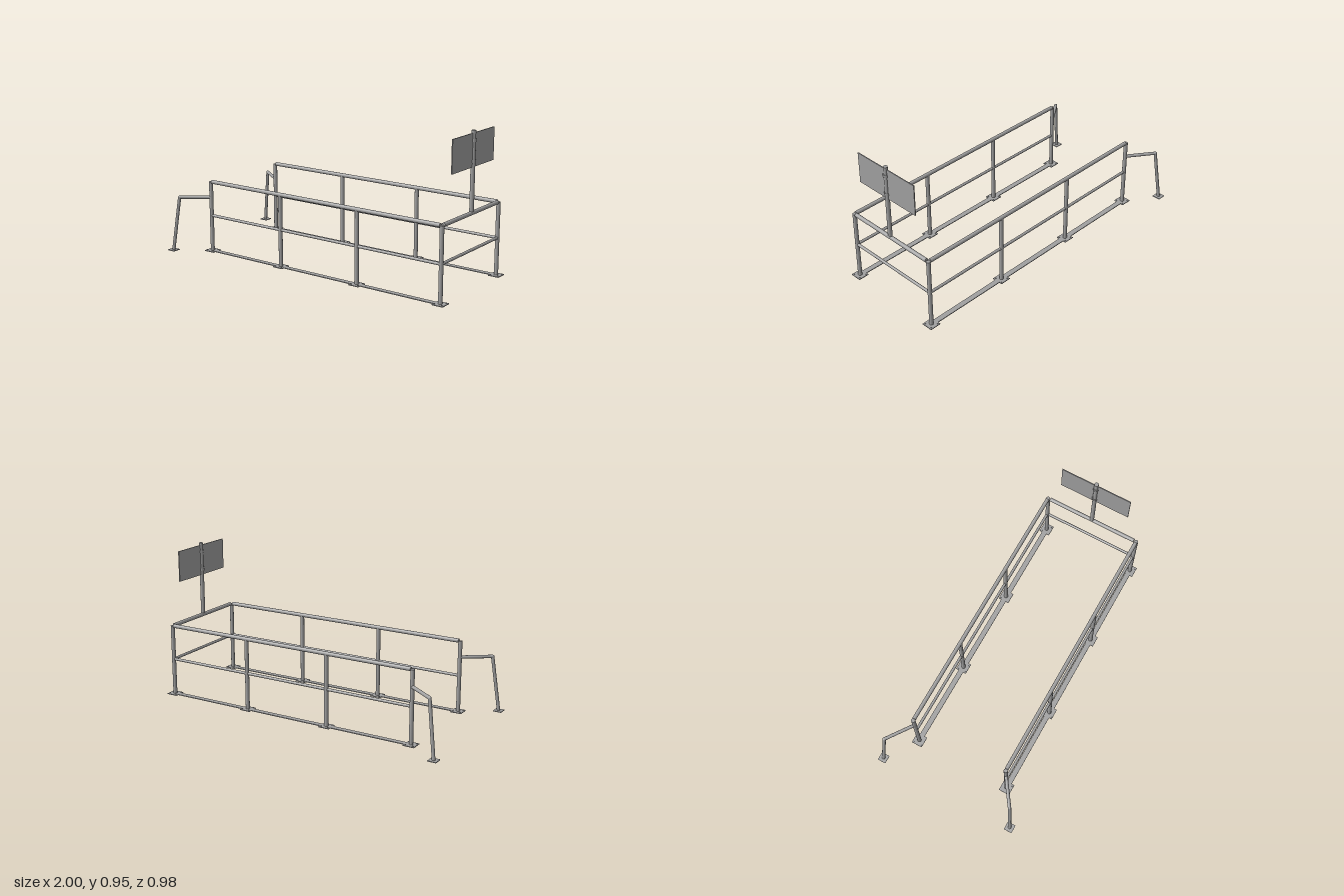
import * as THREE from 'three';

const steel = new THREE.MeshStandardMaterial({ color: 0xa0a0a0 });
steel.name = 'galvanised grey';

export function createModel() {
  const model = new THREE.Group();
  model.name = 'guardRailWalkway';

  const add = (geometry, name, x, y, z) => {
    const mesh = new THREE.Mesh(geometry, steel);
    mesh.name = name;
    mesh.position.set(x, y, z);
    model.add(mesh);
    return mesh;
  };

  // Round pipe between two points
  const pipe = (name, from, to, radius) => {
    const a = new THREE.Vector3(...from);
    const b = new THREE.Vector3(...to);
    const dir = b.clone().sub(a);
    const mid = a.clone().add(b).multiplyScalar(0.5);
    const mesh = add(new THREE.CylinderGeometry(radius, radius, dir.length(), 20), name, mid.x, mid.y, mid.z);
    mesh.quaternion.setFromUnitVectors(new THREE.Vector3(0, 1, 0), dir.normalize());
  };

  const plate = (name, x, z, size) => add(new THREE.BoxGeometry(size, 0.005, size), name, x, 0.0025, z);

  const postX = [-0.76, -0.19, 0.385, 0.96];
  const railZ = 0.322;
  const endX = 0.96;

  for (const side of [1, -1]) {
    const z = side * railZ;

    // Posts with bolted base plates
    for (const x of postX) {
      pipe('post', [x, 0, z], [x, 0.46, z], 0.0128);
      plate('basePlate', x, z, 0.072);
      for (const dx of [-0.025, 0.025]) {
        for (const dz of [-0.025, 0.025]) {
          add(new THREE.CylinderGeometry(0.004, 0.004, 0.005, 6), 'bolt', x + dx, 0.0065, z + dz);
        }
      }
    }

    // Long rails and the flat kick strip on the ground
    pipe('topRail', [-0.75, 0.46, z], [0.95, 0.46, z], 0.0125);
    pipe('midRail', [-0.76, 0.237, z], [endX, 0.237, z], 0.009);
    add(new THREE.BoxGeometry(1.72, 0.005, 0.034), 'groundStrip', 0.1, 0.0025, z);

    // Splayed entry handrail with its own foot
    const elbow = [-0.927, 0.356, side * 0.44];
    pipe('entryRail', [-0.76, 0.356, z], elbow, 0.0105);
    pipe('entryLeg', elbow, [-0.973, 0, side * 0.463], 0.0105);
    add(new THREE.SphereGeometry(0.0105, 16, 12), 'entryElbow', ...elbow);
    plate('entryFoot', -0.973, side * 0.463, 0.054);
  }

  // Closed end
  pipe('endTopRail', [endX, 0.46, -0.306], [endX, 0.46, 0.306], 0.0125);
  pipe('endMidRail', [endX, 0.237, -railZ], [endX, 0.237, railZ], 0.009);

  // Sign on its pole, held by two collars
  pipe('signPole', [endX, 0.47, 0], [endX, 0.944, 0], 0.0135);
  add(new THREE.BoxGeometry(0.006, 0.198, 0.47), 'signPanel', endX, 0.83, 0);
  for (const y of [0.766, 0.887]) {
    add(new THREE.CylinderGeometry(0.0175, 0.0175, 0.016, 20), 'signCollar', endX, y, 0);
  }

  return model;
}
